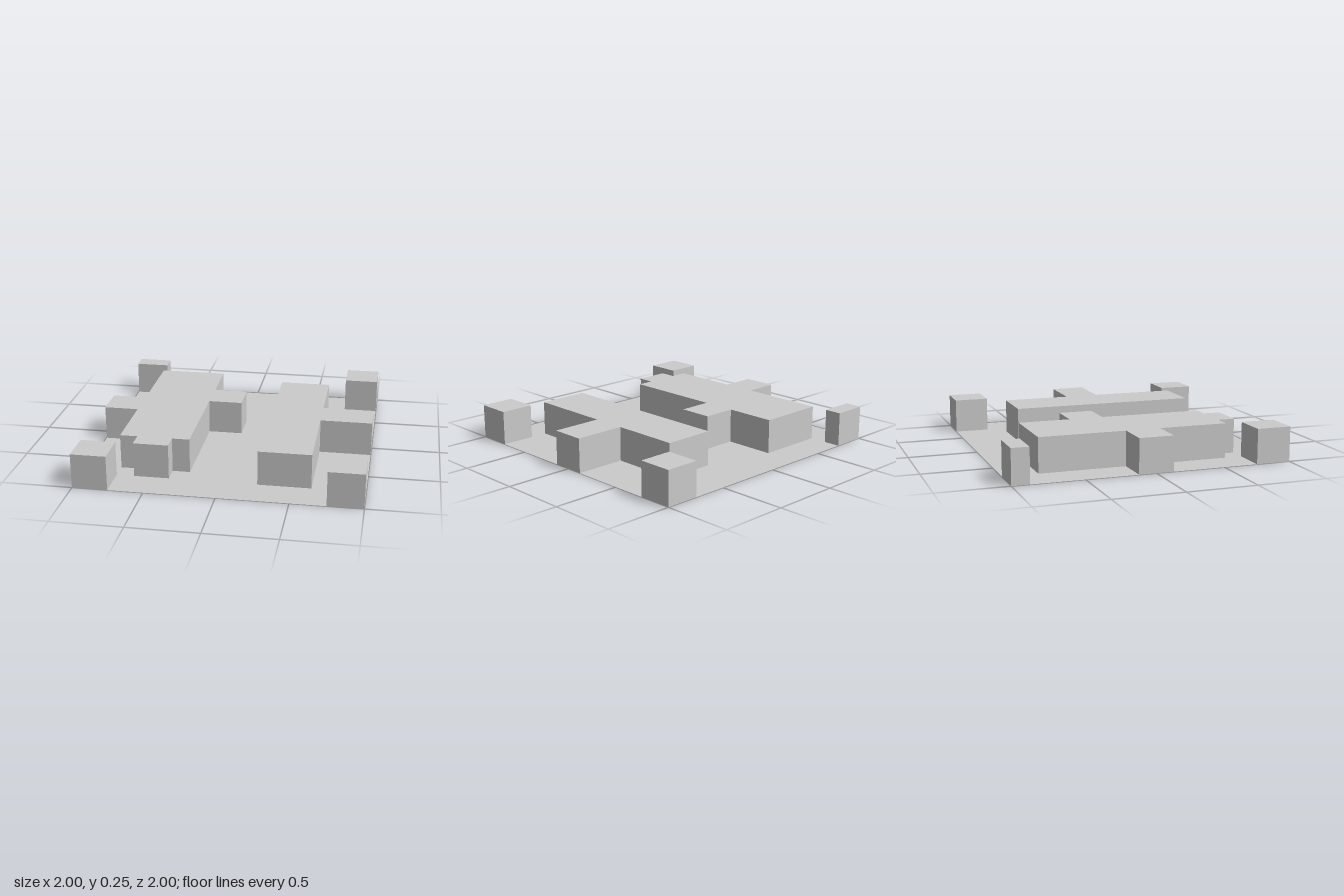
import * as THREE from 'three';

const UNIT = 1 / 8;   // plan grid step
const HEIGHT = 0.25;  // height of every raised block

// Plan paths [x, -z] in grid steps, following the floor's edge counter-clockwise.
// Each path bites a block's footprint out of the floor; corner closes it at the floor's corner.
const BLOCKS = [
  { name: 'frontLeftCornerBlock', path: [[6, -8], [6, -6], [8, -6]], corner: [8, -8] },
  { name: 'leftBlock', path: [[8, -1], [5, -1], [5, -6], [2, -6], [2, 5], [5, 5], [5, 1], [8, 1]] },
  { name: 'backLeftCornerBlock', path: [[8, 6], [6, 6], [6, 8]], corner: [8, 8] },
  { name: 'backRightCornerBlock', path: [[-6, 8], [-6, 7], [-8, 7]], corner: [-8, 8] },
  {
    name: 'rightBlock',
    path: [[-8, 1], [-6, 1], [-6, 6], [-2, 6], [-2, 3], [0, 3], [0, 1], [-2, 1], [-2, -5],
      [-3, -5], [-3, -6], [-5, -6], [-5, -5], [-6, -5], [-6, -1], [-8, -1]],
  },
  { name: 'frontRightCornerBlock', path: [[-8, -6], [-6, -6], [-6, -8]], corner: [-8, -8] },
];

const material = new THREE.MeshStandardMaterial({ color: 0xcccccc, flatShading: true, side: THREE.DoubleSide });

const toPoints = (steps) => steps.map(([x, y]) => new THREE.Vector2(x * UNIT, y * UNIT));

// Flat sheet lying at height y, facing up
function sheet(name, points, y) {
  const geometry = new THREE.ShapeGeometry(new THREE.Shape(points)).rotateX(-Math.PI / 2).translate(0, y, 0);
  const mesh = new THREE.Mesh(geometry, material);
  mesh.name = name;
  return mesh;
}

// Upright walls round a counter-clockwise outline, open above and below
function walls(name, points) {
  const positions = [];
  points.forEach((a, i) => {
    const b = points[(i + 1) % points.length];
    const a0 = [a.x, 0, -a.y], b0 = [b.x, 0, -b.y];
    const a1 = [a.x, HEIGHT, -a.y], b1 = [b.x, HEIGHT, -b.y];
    positions.push(...a0, ...b0, ...b1, ...a0, ...b1, ...a1);
  });
  const geometry = new THREE.BufferGeometry();
  geometry.setAttribute('position', new THREE.Float32BufferAttribute(positions, 3));
  geometry.computeVertexNormals();
  const mesh = new THREE.Mesh(geometry, material);
  mesh.name = name;
  return mesh;
}

export function createModel() {
  const model = new THREE.Group();
  model.name = 'blockTile';

  // Thin floor, open beneath the blocks
  model.add(sheet('floor', toPoints(BLOCKS.flatMap((block) => block.path)), 0));

  // Hollow raised blocks
  for (const { name, path, corner } of BLOCKS) {
    const outline = toPoints(corner ? [...path, corner] : path).reverse();
    const block = new THREE.Group();
    block.name = name;
    block.add(walls('walls', outline), sheet('top', outline, HEIGHT));
    model.add(block);
  }
  return model;
}
